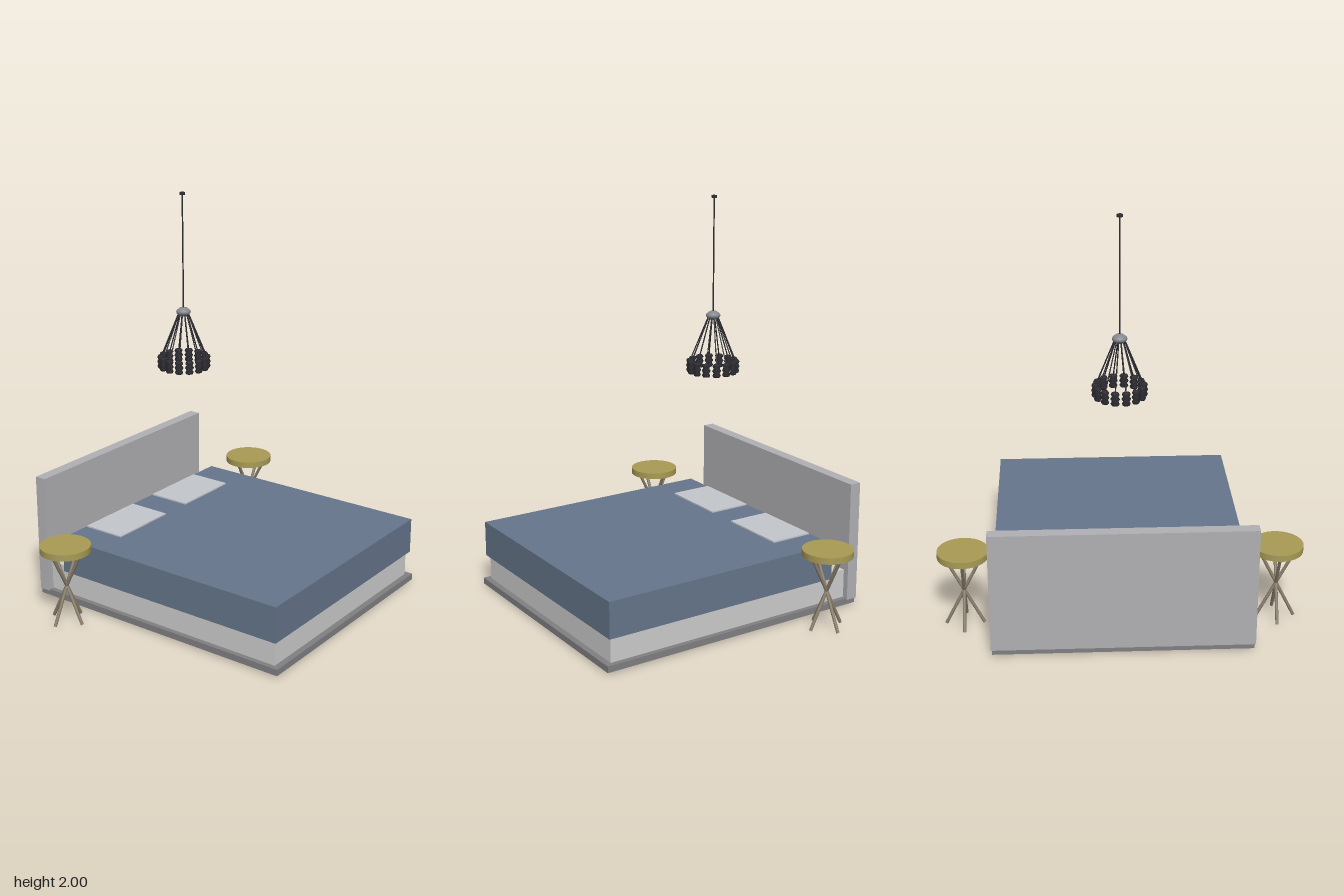
import * as THREE from 'three';

const mat = (color) => new THREE.MeshStandardMaterial({ color });
const fabric = mat(0x65758a), brass = mat(0xa89b55), legMetal = mat(0x8a7f6c);
const frame = mat(0x808082), panel = mat(0xb0b0b4), linen = mat(0xcccccc);
const pillowCloth = mat(0xc2c6cc), black = mat(0x2c2c32), steel = mat(0x85888e);

function add(parent, name, geometry, material, x = 0, y = 0, z = 0) {
  const mesh = new THREE.Mesh(geometry, material);
  mesh.name = name;
  mesh.position.set(x, y, z);
  parent.add(mesh);
  return mesh;
}

// Box given by its minimum and maximum corners
function box(parent, name, material, [x0, y0, z0], [x1, y1, z1]) {
  return add(parent, name, new THREE.BoxGeometry(x1 - x0, y1 - y0, z1 - z0), material,
    (x0 + x1) / 2, (y0 + y1) / 2, (z0 + z1) / 2);
}

// Straight round bar between two points
function bar(parent, name, material, a, b, radius, sides = 8) {
  const dir = b.clone().sub(a);
  const mid = a.clone().add(b).multiplyScalar(0.5);
  const mesh = add(parent, name, new THREE.CylinderGeometry(radius, radius, dir.length(), sides),
    material, mid.x, mid.y, mid.z);
  mesh.quaternion.setFromUnitVectors(new THREE.Vector3(0, 1, 0), dir.normalize());
  return mesh;
}

function makeBed() {
  const bed = new THREE.Group();
  bed.name = 'bed';
  box(bed, 'basePlatform', frame, [-0.617, 0.01, -0.715], [0.617, 0.042, 0.72]);
  box(bed, 'headboard', panel, [-0.622, 0.035, -0.72], [0.622, 0.637, -0.662]);
  box(bed, 'mattress', linen, [-0.592, 0.042, -0.662], [0.592, 0.186, 0.69]);
  box(bed, 'blanket', fabric, [-0.61, 0.165, -0.567], [0.61, 0.345, 0.705]);
  for (const s of [-1, 1]) {
    box(bed, 'pillow', pillowCloth, [s * 0.26 - 0.178, 0.3, -0.56], [s * 0.26 + 0.178, 0.352, -0.34]);
  }
  return bed;
}

// Round side table on four crossing legs
function makeTable(x) {
  const table = new THREE.Group();
  table.name = 'sideTable';
  table.position.set(x, 0, -0.415);
  add(table, 'tableTop', new THREE.CylinderGeometry(0.123, 0.123, 0.032, 48), brass, 0, 0.386, 0);
  for (let i = 0; i < 4; i++) {
    const a = i * Math.PI / 2, r = 0.092;
    const c = Math.cos(a) * r, s = Math.sin(a) * r;
    bar(table, 'tableLeg', legMetal, new THREE.Vector3(c, 0.005, s),
      new THREE.Vector3(-c, 0.372, -s), 0.008, 12);
  }
  return table;
}

// Hanging lamp: a rod, a hub and a ring of lamp holders on slanted arms
function makeLamp() {
  const lamp = new THREE.Group();
  lamp.name = 'pendantLamp';
  lamp.position.set(0, 0, -0.275);
  add(lamp, 'ceilingCap', new THREE.CylinderGeometry(0.014, 0.014, 0.012, 16), black, 0, 1.994, 0);
  add(lamp, 'rod', new THREE.CylinderGeometry(0.0035, 0.0035, 0.565, 8), black, 0, 1.7125, 0);

  const hub = [[0, -0.022], [0.018, -0.02], [0.033, -0.008], [0.036, 0], [0.033, 0.008], [0.018, 0.02], [0, 0.023]];
  add(lamp, 'hub', new THREE.LatheGeometry(hub.map((p) => new THREE.Vector2(...p)), 24), steel, 0, 1.412, 0);

  const spool = [[0, -0.033], [0.013, -0.032], [0.017, -0.023], [0.012, -0.012], [0.018, 0],
    [0.012, 0.012], [0.017, 0.023], [0.013, 0.032], [0, 0.033]];
  const holder = new THREE.LatheGeometry(spool.map((p) => new THREE.Vector2(...p)), 12);
  const count = 14;
  for (let i = 0; i < count; i++) {
    const a = i / count * Math.PI * 2;
    const at = (r, y) => new THREE.Vector3(Math.cos(a) * r, y, Math.sin(a) * r);
    bar(lamp, 'arm', black, at(0.025, 1.402), at(0.114, 1.18), 0.003, 6);
    const p = at(0.115, 1.158);
    const mesh = add(lamp, 'lampHolder', holder, black, p.x, p.y, p.z);
    mesh.rotation.y = -a;
    mesh.scale.z = 1.25;
  }
  return lamp;
}

export function createModel() {
  const model = new THREE.Group();
  model.name = 'bedroomSet';
  model.add(makeBed(), makeTable(-0.755), makeTable(0.755), makeLamp());
  return model;
}
